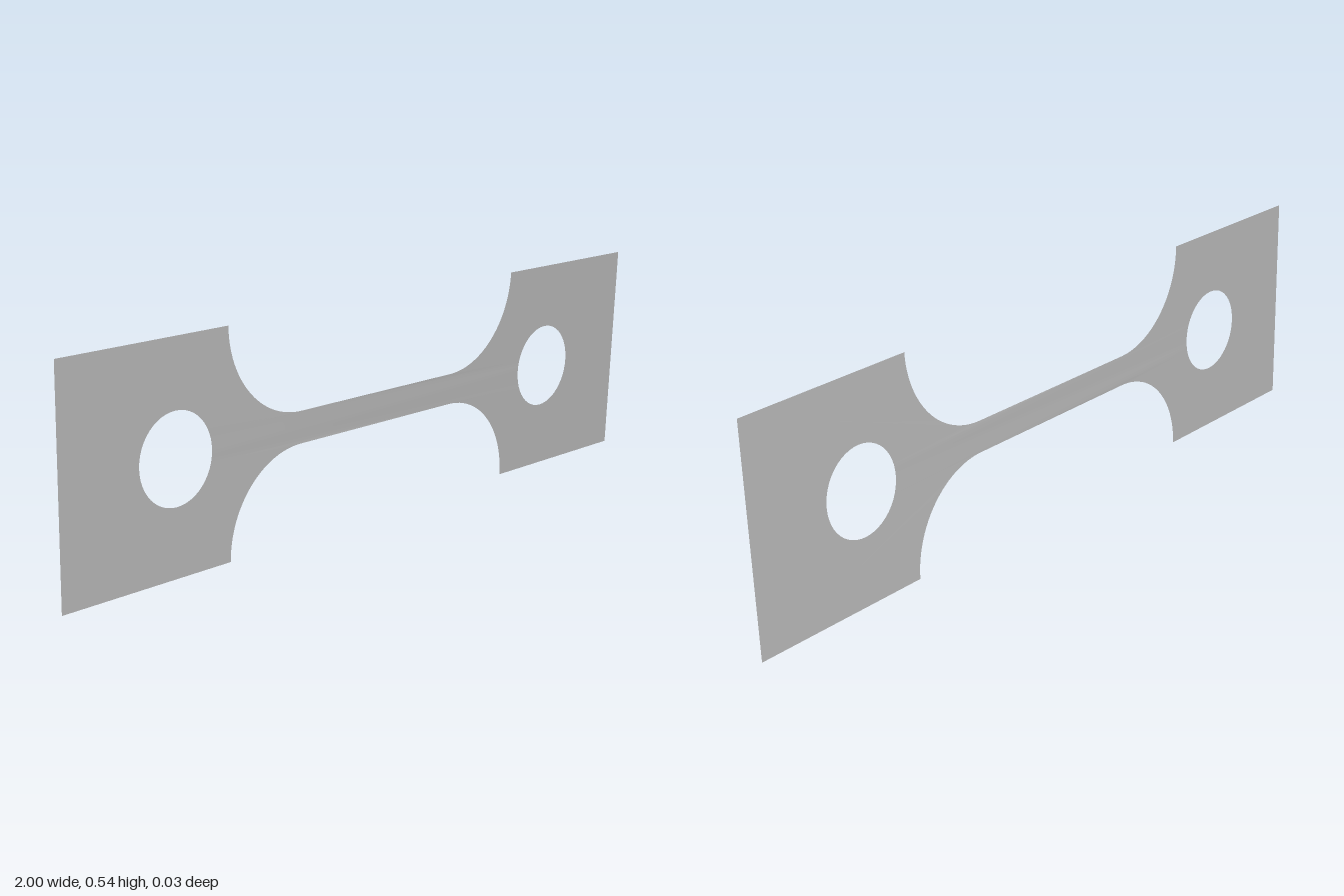
import * as THREE from 'three';

const HEIGHT = 0.543, MID = HEIGHT / 2;
const GAUGE = 0.039, GAUGE_END = 0.275; // half height and half length of the narrow bar
const RADIUS = MID - GAUGE;

// Upper right quarter of the outline, relative to the centre
function quarterOutline() {
  const pts = [];
  for (let i = 1; i <= 6; i++) pts.push([GAUGE_END * (i - 0.5) / 6, GAUGE]);
  for (let i = 0; i <= 24; i++) {
    const a = (i / 24) * Math.PI / 2;
    pts.push([GAUGE_END + RADIUS * Math.sin(a), GAUGE + RADIUS * (1 - Math.cos(a))]);
  }
  pts.push([1, MID]);
  return pts;
}

function createSheet() {
  const q = quarterOutline();
  const back = [...q].reverse();
  const mirror = (pts, sx, sy) => pts.map(([x, y]) => new THREE.Vector2(x * sx, y * sy));
  const shape = new THREE.Shape([
    ...mirror(q, 1, -1), ...mirror(back, 1, 1),
    ...mirror(q, -1, 1), ...mirror(back, -1, -1),
  ]);
  // Round hole in each grip
  for (const side of [-1, 1]) {
    const hole = new THREE.Path();
    hole.absarc(side * 0.67, 0, 0.108, 0, Math.PI * 2, true);
    shape.holes.push(hole);
  }
  const geo = new THREE.ShapeGeometry(shape, 24);

  // Slight twist along the length
  const pos = geo.attributes.position;
  for (let i = 0; i < pos.count; i++) {
    const t = THREE.MathUtils.smoothstep(pos.getX(i), -0.5, 0.5);
    const slope = THREE.MathUtils.lerp(0.01, 0.053, t);
    pos.setZ(i, pos.getY(i) * slope);
  }
  geo.translate(0, MID, 0);
  geo.computeVertexNormals();
  return geo;
}

export function createModel() {
  const group = new THREE.Group();
  group.name = 'tensileSpecimen';
  const steel = new THREE.MeshStandardMaterial({ color: 0xb0b0b0, side: THREE.DoubleSide });
  steel.name = 'plain grey metal';
  const sheet = new THREE.Mesh(createSheet(), steel);
  sheet.name = 'twistedSheet';
  group.add(sheet);
  return group;
}
